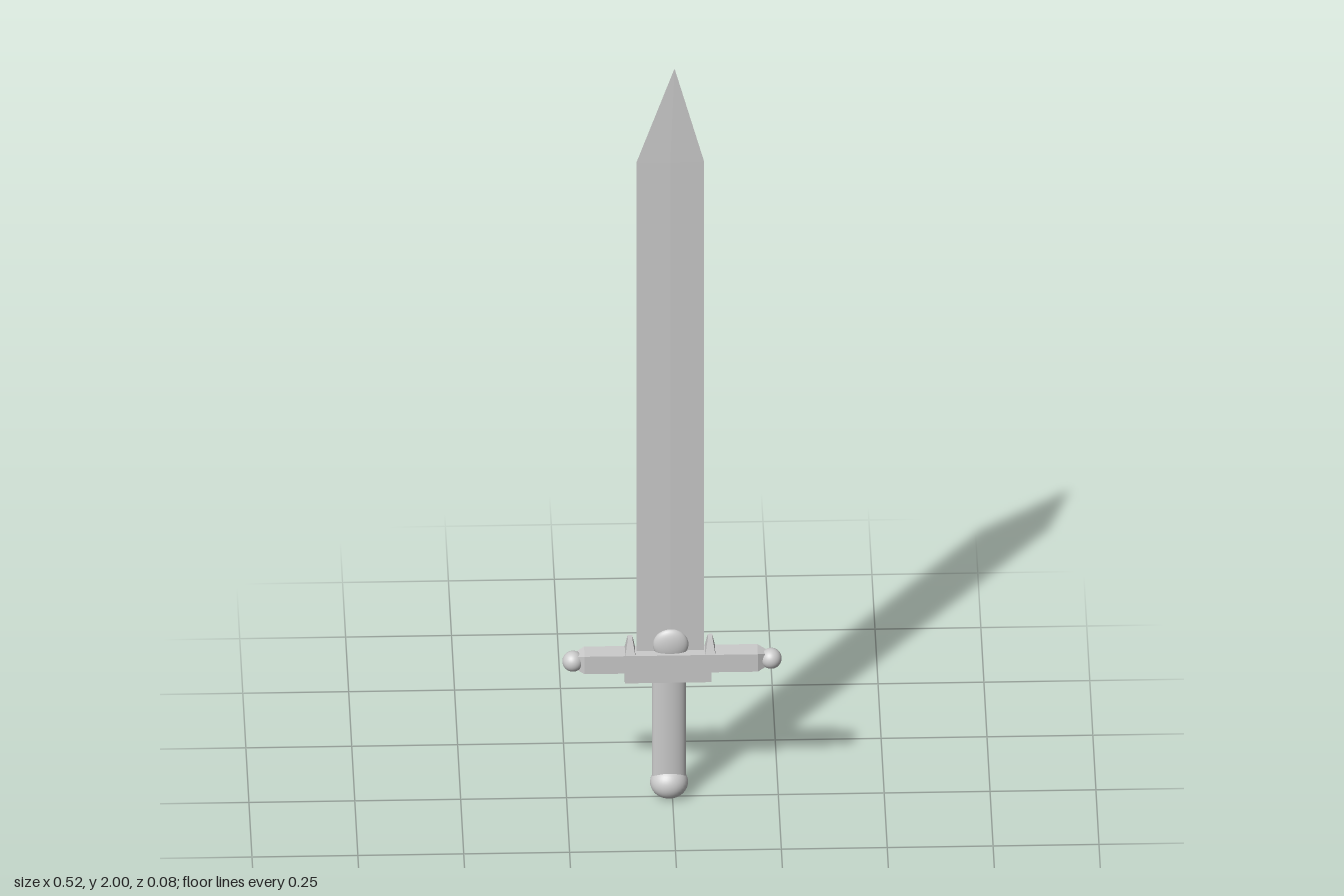
import * as THREE from 'three';

const smooth = new THREE.MeshStandardMaterial({ color: 0xcccccc });
const flat = new THREE.MeshStandardMaterial({ color: 0xcccccc, flatShading: true, side: THREE.DoubleSide });

export function createModel() {
  const sword = new THREE.Group();
  sword.name = 'sword';

  function add(name, geometry, material, x, y, z) {
    const mesh = new THREE.Mesh(geometry, material);
    mesh.name = name;
    mesh.position.set(x, y, z);
    sword.add(mesh);
    return mesh;
  }

  function ellipsoid(name, x, y, z, rx, ry, rz) {
    add(name, new THREE.SphereGeometry(1, 32, 20), smooth, x, y, z).scale.set(rx, ry, rz);
  }

  // Box standing on its origin, narrowing towards its top
  function taperedBox(w, h, d, topW, topD) {
    const g = new THREE.BoxGeometry(w, h, d).translate(0, h / 2, 0);
    const p = g.attributes.position;
    for (let i = 0; i < p.count; i++) {
      if (p.getY(i) > h / 2) p.setXYZ(i, p.getX(i) * topW / w, h, p.getZ(i) * topD / d);
    }
    return g;
  }

  // Blade: thin diamond section, parallel up to the shoulder, then a point
  const blade = new THREE.CylinderGeometry(1, 1, 2, 4, 2);
  const p = blade.attributes.position;
  for (let i = 0; i < p.count; i++) {
    const level = Math.round(p.getY(i)) + 1;
    const k = level === 2 ? 0.01 : 1;
    p.setXYZ(i,
      p.getX(i) * 0.08 * k + [-0.005, -0.005, 0.005][level],
      [0.36, 1.745, 2][level],
      p.getZ(i) * 0.002 * k);
  }
  add('blade', blade, flat, 0, 0, -0.003);

  // Crossguard: bar with a deeper block in the middle
  const guard = new THREE.Shape([
    [-0.208, 0.40], [-0.208, 0.352], [-0.113, 0.352], [-0.113, 0.325],
    [0.092, 0.325], [0.092, 0.352], [0.201, 0.352], [0.201, 0.40],
  ].map(([x, y]) => new THREE.Vector2(x, y)));
  add('crossguard', new THREE.ExtrudeGeometry(guard, { depth: 0.047, bevelEnabled: false }), flat, 0, 0, -0.026);

  // Tapered ends, ball finials and prongs on both sides
  for (const s of [-1, 1]) {
    const side = s > 0 ? 'left' : 'right';
    const end = add(side + 'GuardEnd', taperedBox(0.048, 0.02, 0.047, 0.034, 0.024),
      flat, s * 0.2045 - 0.0035, 0.376, -0.0025);
    end.rotation.z = -s * Math.PI / 2;
    ellipsoid(side + 'Finial', s * 0.234 - 0.001, 0.376, 0, 0.025, 0.025, 0.025);
    add(side + 'Prong', taperedBox(0.024, 0.038, 0.047, 0.011, 0.021),
      flat, s * 0.0945 - 0.0055, 0.4, -0.0025);
  }

  // Oval boss at the root of the blade
  ellipsoid('boss', -0.004, 0.417, -0.002, 0.042, 0.042, 0.017);

  // Oval grip and round pommel
  add('grip', new THREE.CylinderGeometry(1, 1, 0.29, 32), smooth, -0.008, 0.185, 0).scale.set(0.04, 1, 0.021);
  ellipsoid('pommel', -0.008, 0.04, 0, 0.045, 0.04, 0.04);

  return sword;
}
